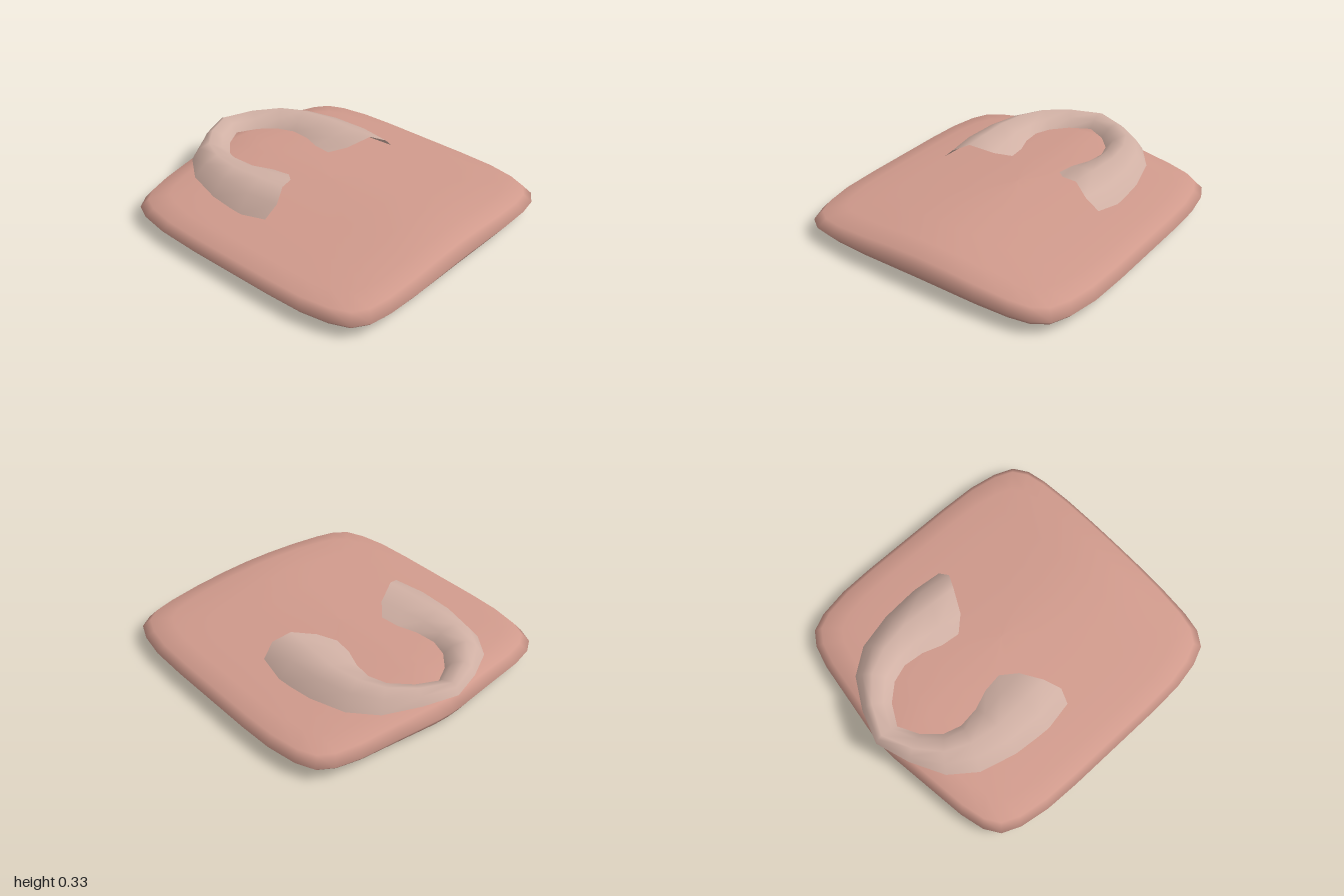
import * as THREE from 'three';

// Smooth surface through rows of points; closed joins each row end to its start
function skin(rows, closed, material, name) {
  const n = rows[0].length, index = [];
  for (let i = 0; i < rows.length - 1; i++) {
    for (let j = 0; j < (closed ? n : n - 1); j++) {
      const k = (j + 1) % n;
      const a = i * n + j, b = i * n + k, c = a + n, d = b + n;
      index.push(a, b, c, b, d, c);
    }
  }
  const geometry = new THREE.BufferGeometry();
  geometry.setAttribute('position', new THREE.Float32BufferAttribute(rows.flat(2), 3));
  geometry.setIndex(index);
  geometry.computeVertexNormals();
  const mesh = new THREE.Mesh(geometry, material);
  mesh.name = name;
  return mesh;
}

// Pillow: a rounded outline scaled through layers, crowned across x
function makeCushion() {
  const half = [
    [0, 1], [0.2, 1], [0.42, 0.998], [0.64, 0.985], [0.77, 0.96], [0.86, 0.9], [0.91, 0.78],
    [0.942, 0.6], [0.95, 0.35], [0.95, 0.05], [0.95, -0.28], [0.942, -0.5], [0.91, -0.69],
    [0.86, -0.8], [0.77, -0.86], [0.62, -0.9], [0.36, -0.935], [0.1, -0.97], [0, -0.975],
  ];
  const outline = [...half, ...half.slice(1, -1).reverse().map(([x, z]) => [-x, z])];
  // [scale of outline, fraction of local height]
  const layers = [
    [0, 0], [0.5, 0], [0.84, 0.025], [0.955, 0.18], [1, 0.5], [0.955, 0.82],
    [0.84, 0.955], [0.64, 1], [0.42, 1], [0.2, 1], [0, 1],
  ];
  const crown = (x) => 0.165 + 0.0275 * (1 + Math.cos(Math.PI * Math.min(1, Math.abs(x) / 0.9)));
  const rows = layers.map(([s, f]) => outline.map(([x, z]) => [x * s, f * crown(x * s), z * s]));
  return skin(rows, true, new THREE.MeshStandardMaterial({ color: 0xd09a8c }), 'cushion');
}

// Collar: arched open strip, sections from back centre to the front tip, outer to inner
function makeCollar() {
  const side = [
    [[0, 0.245, -1], [0, 0.29, -0.98], [0, 0.305, -0.95], [0, 0.28, -0.88], [0, 0.23, -0.84]],
    [[0.21, 0.235, -0.93], [0.2, 0.285, -0.905], [0.18, 0.312, -0.87], [0.15, 0.285, -0.81], [0.13, 0.23, -0.77]],
    [[0.41, 0.215, -0.82], [0.37, 0.285, -0.79], [0.32, 0.318, -0.75], [0.26, 0.285, -0.7], [0.22, 0.23, -0.67]],
    [[0.53, 0.2, -0.66], [0.47, 0.28, -0.63], [0.39, 0.322, -0.6], [0.3, 0.285, -0.57], [0.255, 0.235, -0.56]],
    [[0.59, 0.185, -0.43], [0.52, 0.28, -0.42], [0.42, 0.325, -0.42], [0.31, 0.288, -0.42], [0.24, 0.24, -0.43]],
    [[0.61, 0.175, -0.19], [0.53, 0.28, -0.19], [0.41, 0.33, -0.2], [0.28, 0.29, -0.26], [0.195, 0.245, -0.31]],
    [[0.58, 0.205, 0], [0.5, 0.28, 0.02], [0.4, 0.33, -0.03], [0.26, 0.285, -0.1], [0.18, 0.25, -0.19]],
  ];
  const mirrored = side.slice(1).reverse().map((row) => row.map(([x, y, z]) => [-x, y, z]));
  const material = new THREE.MeshStandardMaterial({ color: 0xd0b0a4, side: THREE.DoubleSide });
  return skin([...mirrored, ...side], false, material, 'collar');
}

export function createModel() {
  const model = new THREE.Group();
  model.name = 'cushionWithCollar';
  model.add(makeCushion(), makeCollar());
  return model;
}
